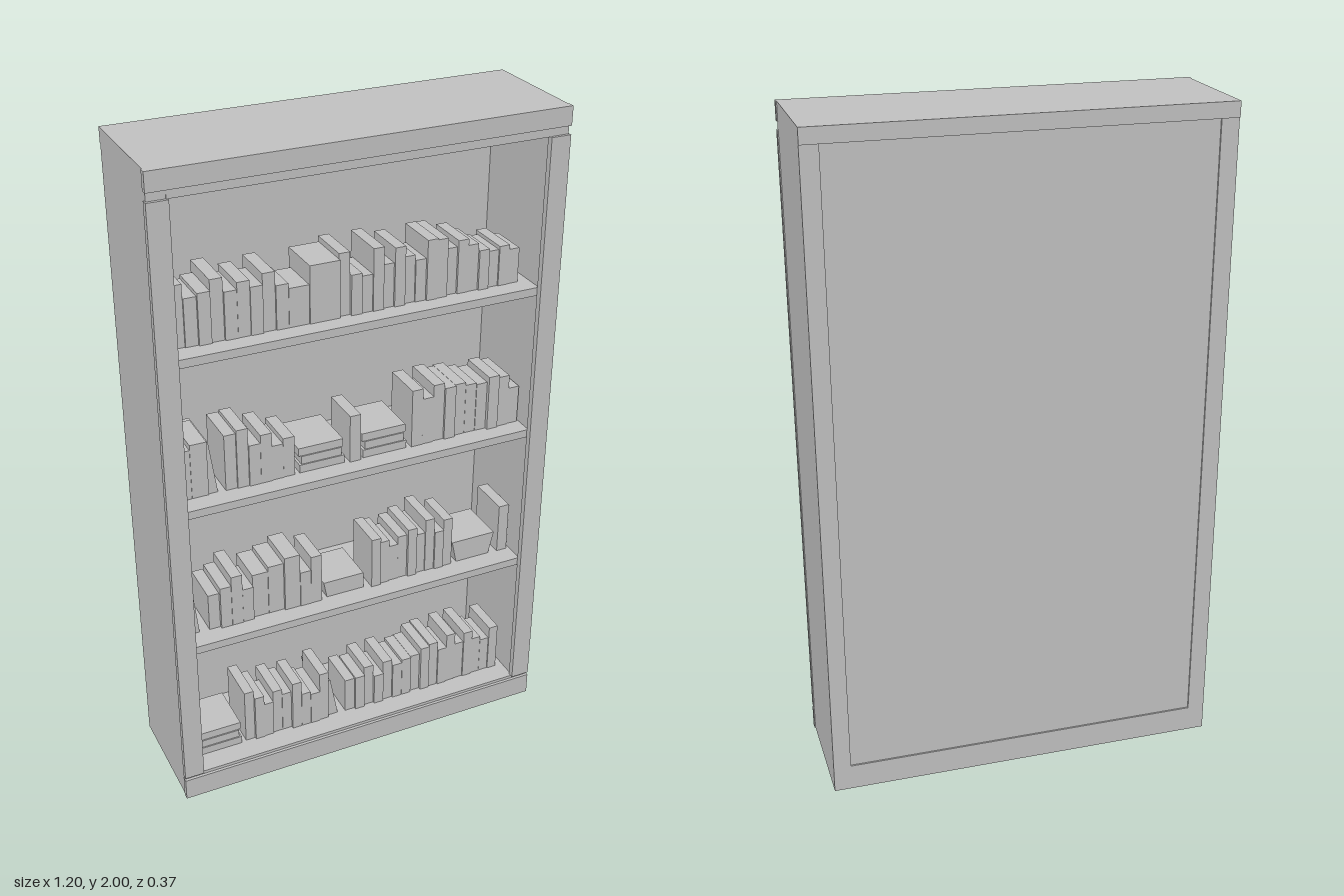
import * as THREE from 'three';

export function createModel() {
  const model = new THREE.Group();
  const grey = new THREE.MeshStandardMaterial({ color: 0xc0c0c0 });
  grey.name = 'plain grey';

  // Box given by its limits on each axis
  function box(name, x0, x1, y0, y1, z0, z1, parent = model) {
    const mesh = new THREE.Mesh(new THREE.BoxGeometry(x1 - x0, y1 - y0, z1 - z0), grey);
    mesh.position.set((x0 + x1) / 2, (y0 + y1) / 2, (z0 + z1) / 2);
    mesh.name = name;
    parent.add(mesh);
  }

  // Four-sided block with a bottom edge and a shifted top edge
  function taper(name, bottom0, bottom1, top0, top1, height, parent) {
    const shape = new THREE.Shape();
    shape.moveTo(bottom0, 0).lineTo(bottom1, 0).lineTo(top1, height).lineTo(top0, height);
    const geometry = new THREE.ExtrudeGeometry(shape, { depth: 0.15, bevelEnabled: false });
    const mesh = new THREE.Mesh(geometry, grey);
    mesh.position.z = -0.05;
    mesh.name = name;
    parent.add(mesh);
  }

  // Carcass
  for (const [side, s] of [['right', -1], ['left', 1]]) {
    const mirrored = (a, b) => (s < 0 ? [-b, -a] : [a, b]);
    box(side + 'SidePanel', ...mirrored(0.545, 0.597), 0, 1.96, -0.18, 0.175);
    box(side + 'Stile', ...mirrored(0.54, 0.6), 0.08, 1.92, 0.165, 0.184);
  }
  box('backPanel', -0.545, 0.545, 0.05, 1.955, -0.175, -0.14);
  box('base', -0.545, 0.545, 0, 0.08, -0.18, 0.175);
  box('plinthRail', -0.6, 0.6, 0, 0.07, 0.165, 0.184);
  box('topBoard', -0.597, 0.597, 1.955, 2, -0.184, 0.18);
  box('topRail', -0.6, 0.6, 1.945, 2, 0.165, 0.184);
  box('topRailGroove', -0.545, 0.545, 1.92, 1.955, 0.15, 0.177);

  // Shelves, each with a group for what stands on it
  const rows = [1.475, 1.01, 0.545, 0.08].map((y, i) => {
    if (i < 3) box('shelf', -0.545, 0.545, y - 0.025, y, -0.14, 0.165);
    const row = new THREE.Group();
    row.name = 'shelfContents';
    row.position.y = y;
    model.add(row);
    return row;
  });
  const [top, second, third, bottom] = rows;

  let seed = 7;
  const random = () => (seed = (seed * 16807) % 2147483647) / 2147483647;

  // Upright books side by side between two ends, heights in hundredths
  function books(row, start, end, heights) {
    const width = (end - start) / heights.length;
    heights.forEach((h, i) => {
      const x = start + i * width;
      const front = 0.1 + 0.012 * random();
      const depth = 0.1 + h * 0.0015 + 0.02 * random();
      box('book', x + 0.0004, x + width - 0.0004, 0, h / 100, front - depth, front, row);
    });
  }
  books(top, -0.53, -0.2, [18, 14, 15, 18, 14, 16, 14, 17, 13]);
  books(top, -0.2, -0.14, [11.5]);
  books(top, -0.14, -0.05, [17]);
  books(top, -0.05, 0.51, [18.5, 12, 11, 18.5, 13, 17.5, 14, 12.5, 18, 17.5, 14, 16, 14, 12, 11, 12, 10.5]);

  books(second, -0.53, -0.5, [15.5]);
  books(second, -0.5, -0.45, [17]);
  books(second, -0.4, -0.19, [17.5, 18.5, 13, 15.5, 11, 12.5]);
  books(second, -0.02, 0.015, [15]);
  books(second, 0.18, 0.54, [18.5, 15, 18.5, 17, 17, 16, 15.5, 17.5, 16.5, 12]);

  books(third, -0.47, -0.33, [12, 14, 17, 11.5]);
  books(third, -0.33, -0.18, [15, 16.5, 18.5]);
  books(third, -0.18, -0.11, [12, 16.5]);
  books(third, 0.055, 0.335, [17, 15, 12.5, 15, 17, 14, 18.5, 13.5, 17]);
  books(third, 0.5, 0.535, [16.5]);

  books(bottom, -0.37, -0.09, [18.5, 16, 12.5, 16, 14, 17.5, 12.5, 11.5, 18]);
  books(bottom, -0.03, 0.235, [12, 12.5, 15, 11, 15, 13, 14, 14]);
  books(bottom, 0.235, 0.52, [16.5, 17, 14, 18.5, 14, 17.5, 14, 12.5, 16.5]);

  // Leaning books
  taper('leaningBook', -0.455, -0.422, -0.475, -0.445, 0.165, second);
  taper('leaningBook', -0.53, -0.5, -0.54, -0.515, 0.145, third);
  taper('leaningBook', -0.09, -0.055, -0.115, -0.08, 0.138, bottom);

  // Flat stacks of three books
  for (const [row, x0, x1] of [[second, -0.175, -0.035], [second, 0.025, 0.165], [bottom, -0.52, -0.385]]) {
    for (let k = 0; k < 3; k++) {
      const inset = k === 1 ? 0.007 : 0;
      box('stackedBook', x0 + inset, x1 - inset, k * 0.025, (k + 1) * 0.025, -0.06, 0.105 - 0.004 * k, row);
    }
  }

  // Storage box and tapered basket
  taper('storageBox', -0.09, 0.032, -0.1, 0.032, 0.053, third);
  taper('basket', 0.355, 0.47, 0.339, 0.487, 0.074, third);

  return model;
}
